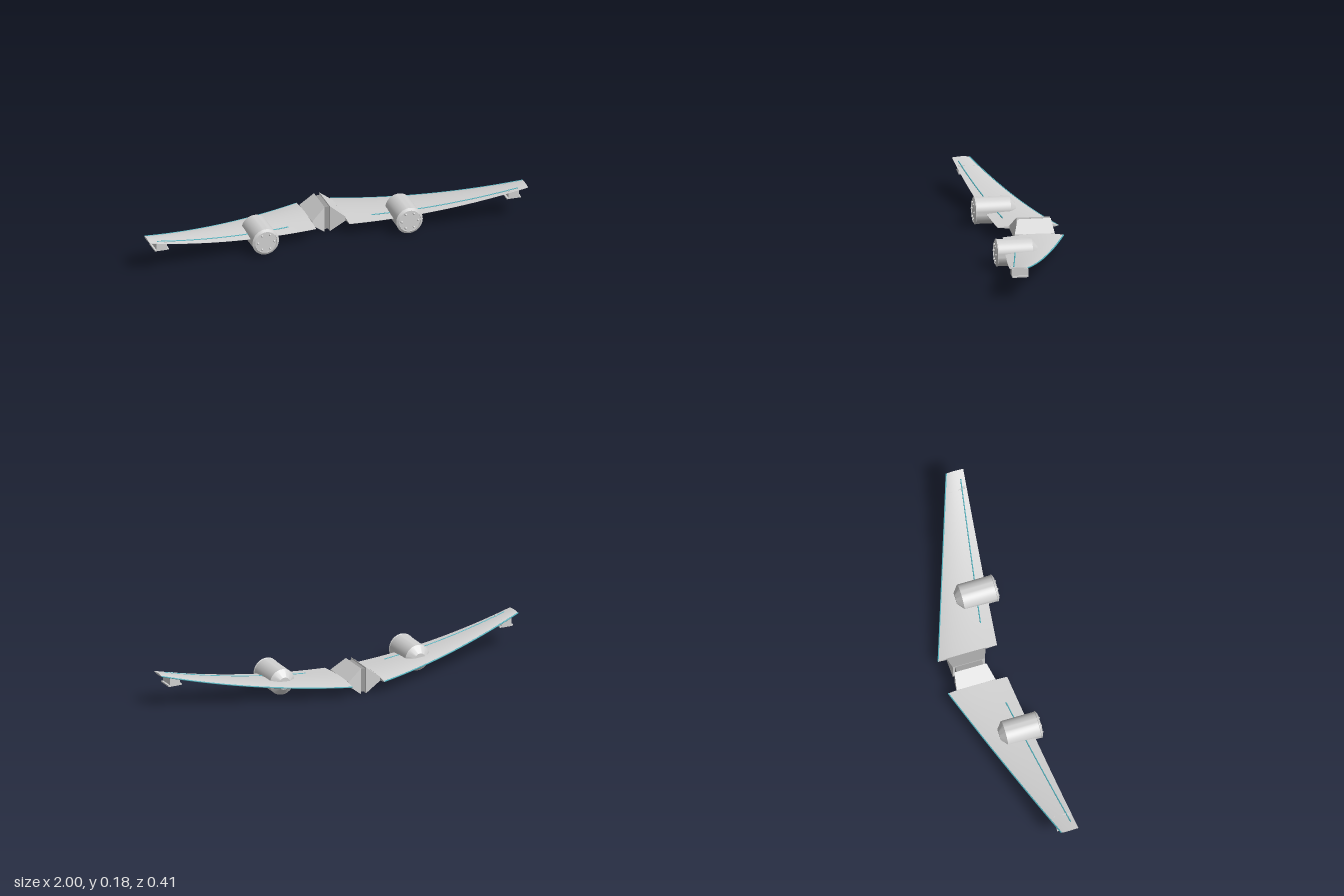
import * as THREE from 'three';
import { toCreasedNormals } from 'three/addons/utils/BufferGeometryUtils.js';
import { ConvexGeometry } from 'three/addons/geometries/ConvexGeometry.js';

const ROOT = 0.088, TIP = 1.0;

// Point on the wing: t runs root to tip, s runs rear edge to front edge, h is -1 bottom, 0 middle, 1 top
function wingPoint(side, t, s, h) {
  const x = ROOT + (TIP - ROOT) * t;
  const rear = -0.203 + 0.318 * t;
  const front = 0.106 + 0.098 * t;
  const thick = 0.013 - 0.008 * t;
  const y = 0.068 + 0.106 * t * t + h * thick;
  return new THREE.Vector3(side * x, y, rear + (front - rear) * s);
}

const section = [
  [0, 0.12], [0.1, 0.55], [0.25, 0.9], [0.42, 1], [0.6, 0.9], [0.8, 0.5], [1, 0.08],
  [1, -0.08], [0.8, -0.5], [0.6, -0.9], [0.42, -1], [0.25, -0.9], [0.1, -0.55], [0, -0.12],
];

function wingGeometry(side) {
  const n = 20, m = section.length, pos = [], index = [];
  const tri = (a, b, c) => (side > 0 ? index.push(a, b, c) : index.push(a, c, b));
  for (let i = 0; i <= n; i++) {
    for (const [s, h] of section) pos.push(...wingPoint(side, i / n, s, h).toArray());
  }
  for (let i = 0; i < n; i++) {
    for (let j = 0; j < m; j++) {
      const k = (j + 1) % m, a = i * m, b = a + m;
      tri(a + j, a + k, b + j);
      tri(a + k, b + k, b + j);
    }
  }
  for (let j = 1; j < m - 1; j++) {
    tri(0, j + 1, j);
    tri(n * m, n * m + j, n * m + j + 1);
  }
  const geo = new THREE.BufferGeometry();
  geo.setAttribute('position', new THREE.Float32BufferAttribute(pos, 3));
  geo.setIndex(index);
  return toCreasedNormals(geo, 0.45);
}

// Thin tube that follows the wing surface
function wingLine(side, t0, t1, s, h, radius) {
  const points = [];
  for (let i = 0; i <= 12; i++) points.push(wingPoint(side, t0 + (t1 - t0) * i / 12, s, h));
  return new THREE.TubeGeometry(new THREE.CatmullRomCurve3(points), 40, radius, 10);
}

export function createModel() {
  const model = new THREE.Group();
  const hull = new THREE.MeshStandardMaterial({ name: 'light grey hull', color: 0xd2d2d2 });
  const dark = new THREE.MeshStandardMaterial({ name: 'mid grey core', color: 0x9a9a9a });
  const teal = new THREE.MeshStandardMaterial({ name: 'teal trim', color: 0x4fb0bc });

  const add = (parent, name, geo, mat, x = 0, y = 0, z = 0) => {
    const mesh = new THREE.Mesh(geo, mat);
    mesh.name = name;
    mesh.position.set(x, y, z);
    parent.add(mesh);
    return mesh;
  };

  // Engine profile: radius against z, from tail cone to bevelled front plate
  const engineProfile = [
    [0, -0.025], [0.032, -0.025], [0.068, 0.004], [0.068, 0.176], [0.07, 0.178],
    [0.07, 0.182], [0.057, 0.189], [0.056, 0.185], [0, 0.185],
  ].map(([r, z]) => new THREE.Vector2(r, z));
  const engineGeo = toCreasedNormals(new THREE.LatheGeometry(engineProfile, 48).rotateX(Math.PI / 2), 0.4);
  const studGeo = new THREE.SphereGeometry(0.006, 16, 10).scale(1, 1, 1.3);

  for (const side of [1, -1]) {
    const half = new THREE.Group();
    half.name = side > 0 ? 'leftHalf' : 'rightHalf';
    model.add(half);

    // Wing with trim along the rear edge and a stripe on top
    add(half, 'wing', wingGeometry(side), hull);
    add(half, 'rearEdgeTrim', wingLine(side, 0, 1, 0.003, 0, 0.0034), teal);
    add(half, 'topStripe', wingLine(side, 0.145, 0.95, 0.78, 0.6, 0.003), teal);

    // Engine with six rounded studs on its front plate
    const engine = new THREE.Group();
    engine.name = 'engine';
    engine.position.set(side * 0.38, 0.077, 0);
    half.add(engine);
    add(engine, 'engineBody', engineGeo, hull);
    for (let i = 0; i < 6; i++) {
      const a = i * Math.PI / 3;
      add(engine, 'frontStud', studGeo, hull, 0.043 * Math.cos(a), 0.043 * Math.sin(a), 0.187);
    }

    // Pod under the wing tip
    const pod = new THREE.Group();
    pod.name = 'tipPod';
    pod.position.set(side * 0.93, 0, 0.144);
    half.add(pod);
    add(pod, 'podBody', new THREE.BoxGeometry(0.056, 0.036, 0.082), hull, 0, 0.14, 0);
    add(pod, 'podPlate', new THREE.BoxGeometry(0.074, 0.007, 0.082), hull, 0, 0.1195, 0);
    for (const z of [-0.025, 0.025]) {
      add(pod, 'podFoot', new THREE.BoxGeometry(0.05, 0.005, 0.016), hull, 0, 0.1145, z);
    }

    // Wedge joining the wing to the centre, with flat front and rear faces
    const wedge = [
      [0.014, 0.138, -0.148], [0.014, 0.138, 0.02], [0.014, 0, -0.148], [0.014, 0, 0.02],
      [0.088, 0.08, -0.158], [0.088, 0.08, 0.045], [0.088, 0.058, -0.158], [0.088, 0.058, 0.045],
    ].map(([x, y, z]) => new THREE.Vector3(side * x, y, z));
    add(half, 'centreWedge', new ConvexGeometry(wedge), hull);
  }

  // Recessed core between the wedges
  add(model, 'centreCore', new THREE.BoxGeometry(0.03, 0.122, 0.14), dark, 0, 0.069, -0.066);

  return model;
}
